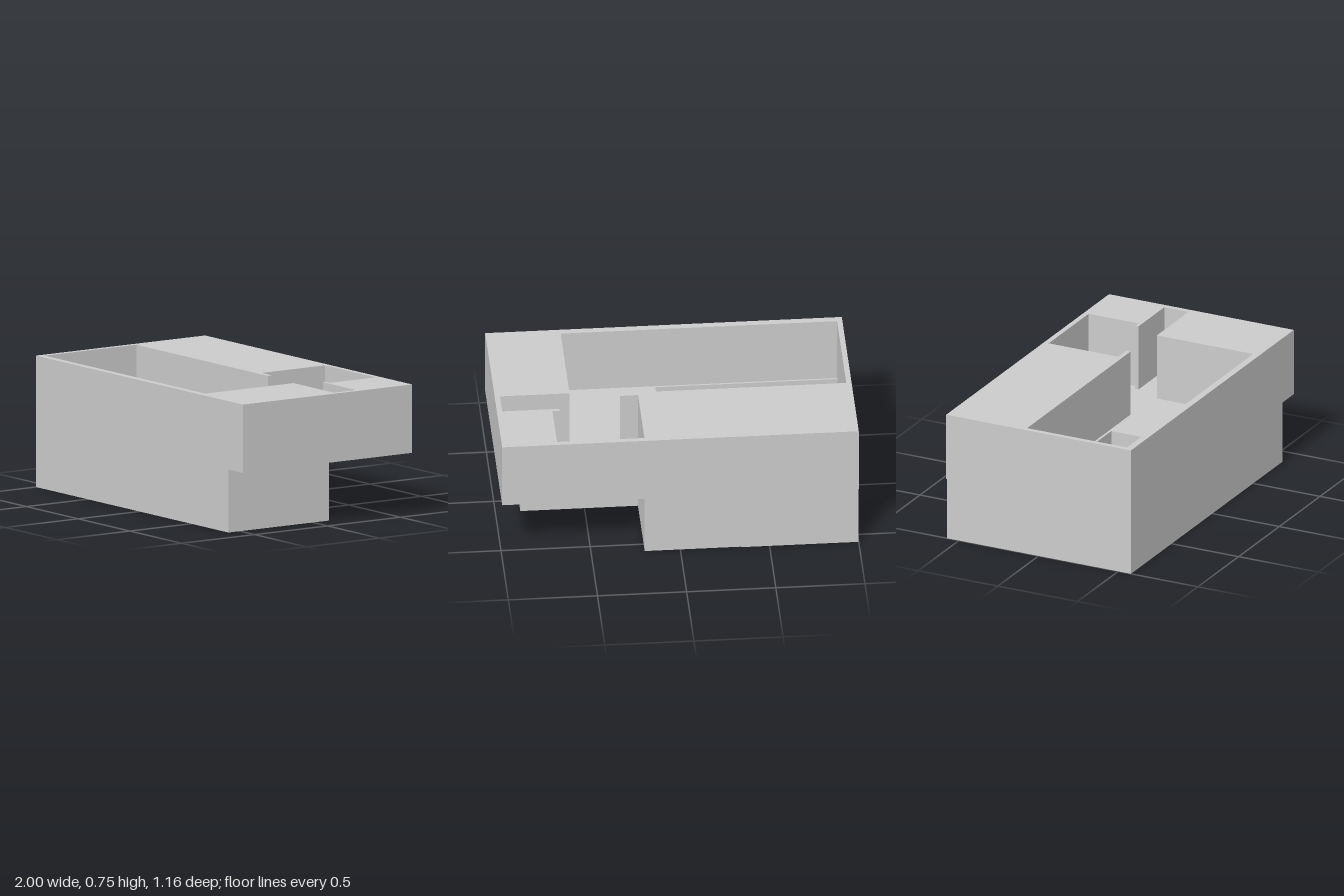
import * as THREE from 'three';

const material = new THREE.MeshStandardMaterial({ color: 0xcccccc, flatShading: true });

// Closed outline from [x, z] plan points
function outline(points, Type = THREE.Shape) {
  return new Type(points.map(([x, z]) => new THREE.Vector2(x, -z)));
}

// Upright solid standing on a floor plan, with optional openings
function storey(name, plan, bottom, top, holes = []) {
  const shape = outline(plan);
  shape.holes = holes.map((hole) => outline(hole, THREE.Path));
  const geometry = new THREE.ExtrudeGeometry(shape, { depth: top - bottom, bevelEnabled: false });
  geometry.rotateX(-Math.PI / 2);
  geometry.translate(0, bottom, 0);
  const mesh = new THREE.Mesh(geometry, material);
  mesh.name = name;
  return mesh;
}

const rect = (x0, x1, z0, z1) => [[x0, z0], [x1, z0], [x1, z1], [x0, z1]];

export function createModel() {
  const group = new THREE.Group();
  group.name = 'house';

  const slabBottom = 0.357, floor = 0.364, roof = 0.745, ground = 0.03;

  // L-shaped lower storey, notched at the back under the overhang
  const lowerPlan = [
    [-1, 0.58], [0.86, 0.58], [0.86, -0.11], [0.2, -0.11],
    [0.2, -0.57], [-0.34, -0.57], [-0.34, -0.575], [-1, -0.575],
  ];
  // Double-height room at the left end of the plan
  const tallRoom = rect(-0.97, 0.05, -0.08, 0.54);

  // Rooms cut into the upper storey, joined into one opening
  const upperRooms = [
    [-0.97, 0.54], [0.58, 0.54], [0.58, -0.065], [0.97, -0.065],
    [0.97, -0.217], [0.65, -0.217], [0.65, -0.237], [0.69, -0.237],
    [0.69, -0.55], [0.2, -0.55], [0.2, -0.115], [0.3, -0.115],
    [0.3, -0.087], [-0.97, -0.087],
  ];
  const upperPlan = rect(-1, 1, -0.58, 0.58);

  group.add(
    storey('groundFloor', lowerPlan, 0, ground),
    storey('lowerStorey', lowerPlan, ground, slabBottom, [tallRoom]),
    storey('upperFloor', upperPlan, slabBottom, floor, [tallRoom]),
    storey('upperStorey', upperPlan, floor, roof, [upperRooms]),
  );

  // Low blocks on the upper floor beside the inner wall
  [rect(0.2, 0.27, -0.55, -0.34), rect(0.24, 0.33, -0.26, -0.2), rect(0.2, 0.3, -0.17, -0.115)]
    .forEach((plan) => group.add(storey('floorBlock', plan, floor, floor + 0.015)));

  return group;
}
